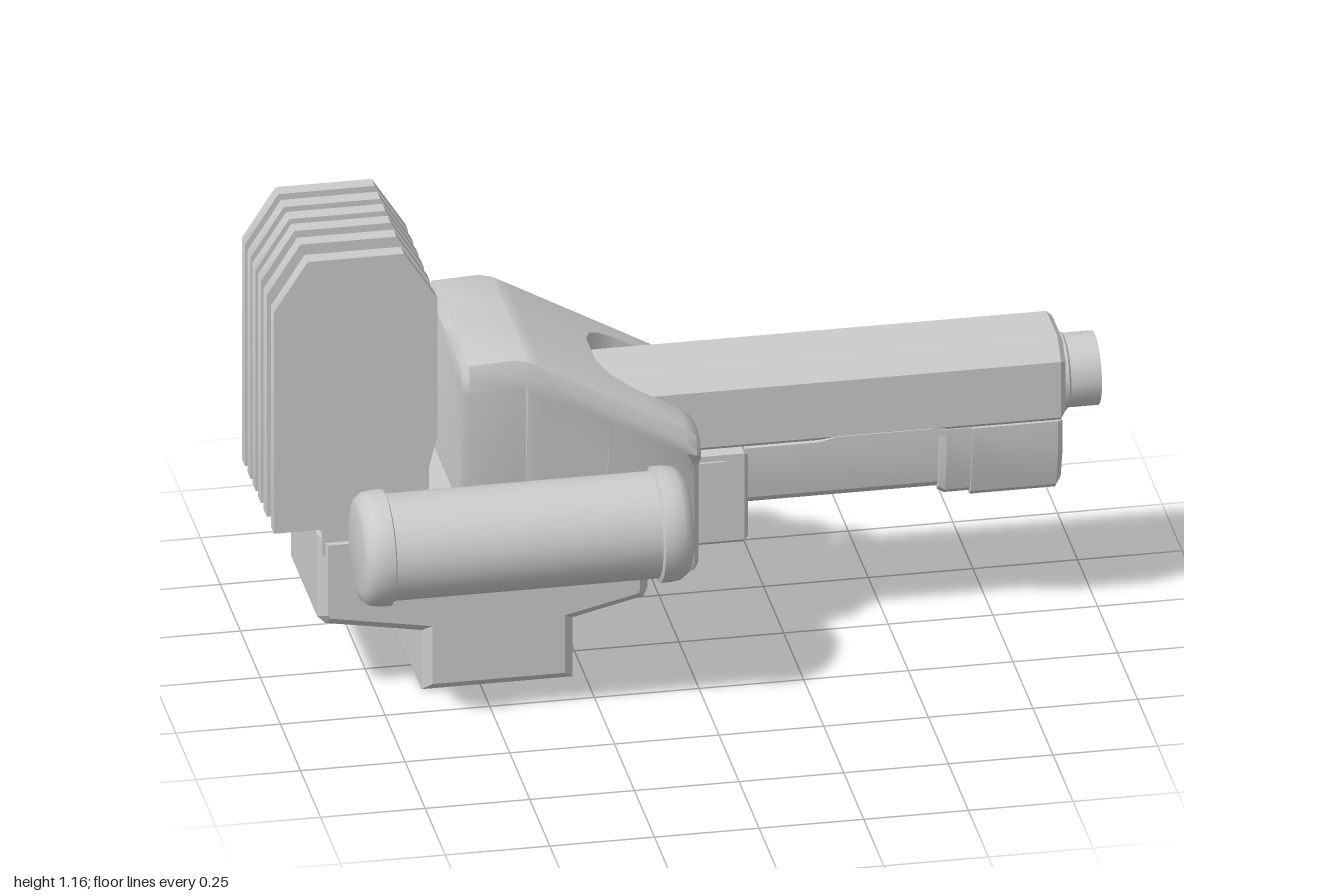
import * as THREE from 'three';
import { toCreasedNormals } from 'three/addons/utils/BufferGeometryUtils.js';

const ZC = -0.032; // centre plane of the main body
const material = new THREE.MeshStandardMaterial({ color: 0xcccccc });

function add(group, name, geometry, crease = 0.6) {
  const flat = geometry.index ? geometry.toNonIndexed() : geometry;
  const mesh = new THREE.Mesh(toCreasedNormals(flat, crease), material);
  mesh.name = name;
  group.add(mesh);
  return mesh;
}

// Loft along x. Each station is [x, half outline], listed bottom to top as [u, y], mirrored about ZC.
function loft(stations) {
  const rings = stations.map(([x, half]) => {
    const ring = [...half, ...half.slice().reverse().filter(p => p[0] > 0).map(([u, y]) => [-u, y])];
    return ring.map(([u, y]) => new THREE.Vector3(x, y, ZC - u));
  });
  const out = [];
  const tri = (...v) => v.forEach(p => out.push(p.x, p.y, p.z));
  const n = rings[0].length;
  for (let i = 0; i < rings.length - 1; i++) {
    for (let j = 0; j < n; j++) {
      const k = (j + 1) % n;
      const a = rings[i][j], b = rings[i][k], c = rings[i + 1][k], d = rings[i + 1][j];
      tri(a, b, c);
      tri(a, c, d);
    }
  }
  const cap = (ring, flip) => {
    const flat = ring.map(p => new THREE.Vector2(ZC - p.z, p.y));
    for (const [a, b, c] of THREE.ShapeUtils.triangulateShape(flat, [])) {
      if (flip) tri(ring[a], ring[c], ring[b]);
      else tri(ring[a], ring[b], ring[c]);
    }
  };
  cap(rings[0], true);
  cap(rings[rings.length - 1], false);
  const g = new THREE.BufferGeometry();
  g.setAttribute('position', new THREE.Float32BufferAttribute(out, 3));
  return g;
}

// Plate outlined in x and y, extruded along z around zMid
function plate(points, width, zMid, bevel = 0) {
  const shape = new THREE.Shape(points.map(p => new THREE.Vector2(...p)));
  const g = new THREE.ExtrudeGeometry(shape, {
    depth: width - 2 * bevel, bevelEnabled: bevel > 0, bevelSize: bevel,
    bevelThickness: bevel, bevelOffset: -bevel, bevelSegments: 1,
  });
  return g.translate(0, 0, zMid - width / 2 + bevel);
}

// Turned part along x, profile listed as [radius, x]
function turned(profile, y, z, sides = 24) {
  const g = new THREE.LatheGeometry(profile.map(p => new THREE.Vector2(...p)), sides);
  return g.rotateZ(-Math.PI / 2).translate(0, y, z);
}

function tube(points, radius) {
  const curve = new THREE.CatmullRomCurve3(points.map(p => new THREE.Vector3(...p)));
  return new THREE.TubeGeometry(curve, 28, radius, 8);
}

// Housing outline: flared shoulder, narrow lower body, slot of half width s down to floor
function housingSection(h, yFlare, yNarrow, s, floor, inset = 0) {
  const w = 0.243 - inset, n = 0.21 - inset;
  return [
    [0, 0.26 + inset], [n - 0.035, 0.26 + inset], [n - 0.01, 0.27 + inset], [n, 0.295],
    [n, yNarrow], [w, yFlare], [w, h - 0.045], [w - 0.013, h - 0.013], [w - 0.045, h],
    [s, h], [s, floor], [0, floor],
  ];
}

export function createModel() {
  const model = new THREE.Group();
  model.name = 'mountedCannon';

  // Cooling fins
  const finOutline = [[-1, 0.46], [-0.63, 0.46], [-0.63, 0.6], [-0.61, 0.68],
    [-0.61, 1.04], [-0.69, 1.165], [-0.92, 1.165], [-1, 1.04]];
  [0.152, 0.06, -0.014, -0.078, -0.143, -0.212].forEach((z, i) =>
    add(model, 'coolingFin' + (i + 1), plate(finOutline, 0.038, z)));

  // Stepped base with foot
  add(model, 'base', plate([[-0.64, 0], [-0.28, 0], [-0.28, 0.155], [-0.11, 0.195], [-0.1, 0.22],
    [-0.1, 0.43], [-0.89, 0.43], [-0.89, 0.215], [-0.87, 0.195], [-0.64, 0.155]], 0.37, ZC, 0.022), 0.3);
  // Fin carrier above the base
  add(model, 'finCarrier', new THREE.BoxGeometry(0.32, 0.12, 0.36).translate(-0.72, 0.44, ZC));

  // Housing: square rear, sloping nose, rounded slot around the barrel
  const slope = x => 0.87 - (x + 0.38) * 0.56;
  const stations = [
    [-0.555, housingSection(0.86, 0.805, 0.8, 0.06, 0.86, 0.008)],
    [-0.54, housingSection(0.882, 0.805, 0.8, 0.06, 0.882)],
    [-0.43, housingSection(0.887, 0.805, 0.8, 0.06, 0.887)],
    [-0.4, housingSection(0.88, 0.805, 0.8, 0.06, 0.88)],
    [-0.399, housingSection(0.88, 0.8, 0.56, 0.06, 0.88)],
    [-0.37, housingSection(slope(-0.37), 0.78, 0.56, 0.06, slope(-0.37))],
    [-0.205, housingSection(slope(-0.205), 0.7, 0.56, 0.06, slope(-0.205))],
  ];
  for (const [x, s] of [[-0.204, 0.06], [-0.19, 0.1], [-0.165, 0.125], [-0.12, 0.14], [-0.02, 0.145]]) {
    const h = slope(x);
    stations.push([x, housingSection(h, Math.max(h - 0.07, 0.595), 0.545, s, 0.53)]);
  }
  stations.push([0.003, housingSection(0.65, 0.59, 0.545, 0.145, 0.53)]);
  stations.push([0.015, housingSection(0.63, 0.58, 0.545, 0.15, 0.53, 0.012)]);
  add(model, 'housing', loft(stations), 0.65);

  // Barrel shroud with bevelled front
  const shroud = (i) => [[0, 0.53 + i], [0.1 - i, 0.53 + i], [0.115 - i, 0.545 + i],
    [0.115 - i, 0.69 - i * 0.5], [0.068 - i * 0.5, 0.735 - i], [0, 0.735 - i]];
  add(model, 'barrelShroud', loft([[-0.26, shroud(0)], [0.897, shroud(0)], [0.91, shroud(0.012)]]), 0.3);
  add(model, 'muzzle', turned([[0.094, 0.88], [0.094, 0.922], [0.088, 0.927], [0.088, 1], [0.067, 1],
    [0.067, 0.86], [0, 0.86]], 0.61, ZC));

  // Lower tube and its rails
  const under = [[0, 0.365], [0.055, 0.365], [0.075, 0.385], [0.085, 0.45], [0.085, 0.51], [0.07, 0.535], [0, 0.535]];
  add(model, 'lowerTube', loft([[0, under], [0.63, under]]), 0.3);
  for (const s of [-1, 1]) {
    add(model, s < 0 ? 'rightRail' : 'leftRail', plate([[0.14, 0.515], [0.31, 0.515], [0.34, 0.525],
      [0.62, 0.525], [0.62, 0.54], [0.59, 0.545], [0.36, 0.545], [0.32, 0.535], [0.14, 0.535]],
      0.022, ZC + s * 0.107));
  }

  // Tapered front grip in two steps
  const grip = (w, y) => [[0, y], [w - 0.04, y], [w - 0.023, y + 0.015], [w, 0.46], [w, 0.535], [0, 0.535]];
  add(model, 'gripRear', loft([[0.61, grip(0.103, 0.36)], [0.625, grip(0.108, 0.352)], [0.69, grip(0.108, 0.352)]]), 0.3);
  add(model, 'gripFront', loft([[0.685, grip(0.114, 0.345)], [0.89, grip(0.114, 0.345)],
    [0.902, [[0, 0.36], [0.066, 0.36], [0.083, 0.375], [0.108, 0.46], [0.108, 0.535], [0, 0.535]]]]), 0.3);

  // Collar where the barrel leaves the housing
  const collar = (w, y0, y1) => [[0, y0], [w - 0.01, y0], [w, y0 + 0.01], [w, y1], [0, y1]];
  add(model, 'collar', loft([[-0.02, collar(0.142, 0.3, 0.535)], [0.135, collar(0.142, 0.3, 0.535)],
    [0.145, collar(0.134, 0.308, 0.527)]]), 0.3);
  for (const s of [-1, 1]) {
    add(model, s < 0 ? 'rightCollarPlate' : 'leftCollarPlate',
      new THREE.BoxGeometry(0.075, 0.2, 0.01).translate(0.053, 0.42, ZC + s * 0.143));
  }

  // Side tanks with raised end caps
  const tank = [[0, -0.832], [0.1, -0.832], [0.122, -0.826], [0.134, -0.81], [0.138, -0.785], [0.138, -0.762],
    [0.127, -0.758], [0.127, -0.122], [0.138, -0.118], [0.138, -0.095], [0.134, -0.07], [0.122, -0.052],
    [0.1, -0.043], [0, -0.038]];
  add(model, 'leftTank', turned(tank, 0.475, 0.32), 0.7);
  add(model, 'rightTank', turned(tank, 0.475, -0.287), 0.7);
  add(model, 'tankValve', turned([[0.058, -0.05], [0.058, -0.03], [0.045, -0.022], [0.045, -0.005],
    [0.03, 0], [0, 0]], 0.475, -0.29));

  // Feed hose from the valve to the lower tube
  add(model, 'feedHose', tube([[-0.02, 0.475, -0.295], [0.08, 0.477, -0.295], [0.16, 0.475, -0.275],
    [0.22, 0.468, -0.22], [0.255, 0.463, -0.15], [0.26, 0.46, -0.1]], 0.02), 3);

  // Loose cables from the fins to the underside of the tank
  for (let i = 0; i < 3; i++) {
    const d = i * 0.028;
    add(model, 'cable' + (i + 1), tube([[-0.95, 0.48, -0.19 - d * 0.6], [-0.935, 0.39, -0.225 - d],
      [-0.885, 0.325, -0.285 - d], [-0.8, 0.265, -0.345 - d], [-0.68, 0.245, -0.385 - d],
      [-0.55, 0.295, -0.385 - d], [-0.38, 0.4, -0.345 - d]], 0.011), 3);
  }
  return model;
}
